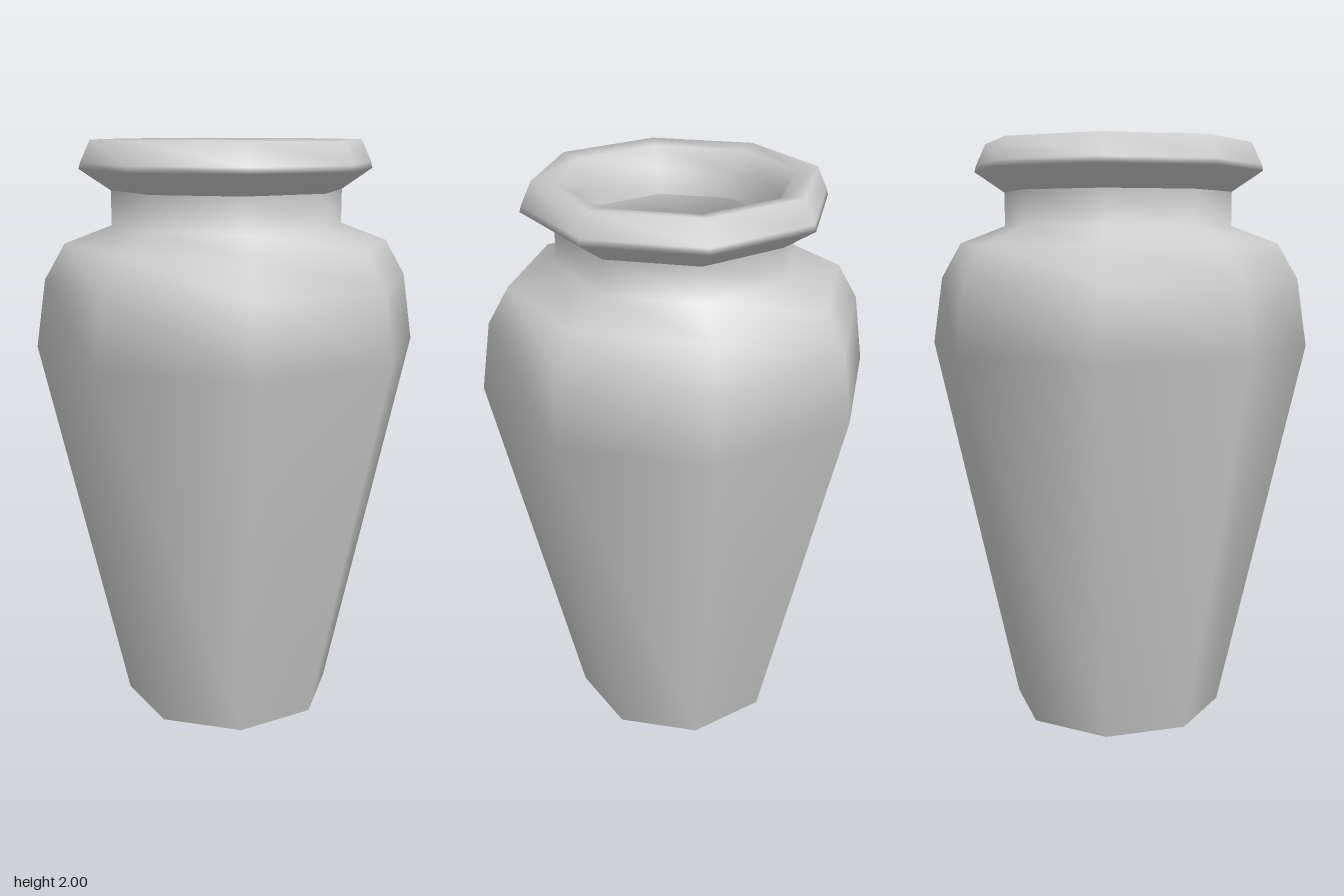
import * as THREE from 'three';

const material = new THREE.MeshStandardMaterial({ color: 0xcccccc });

// Eight-sided turned part from [radius, height] pairs
function turned(name, profile) {
  const points = profile.map(([r, y]) => new THREE.Vector2(r, y));
  const mesh = new THREE.Mesh(new THREE.LatheGeometry(points, 8), material);
  mesh.name = name;
  return mesh;
}

export function createModel() {
  const vase = new THREE.Group();
  vase.name = 'vase';

  // Slightly hollowed underside
  vase.add(turned('base', [[0, 0.06], [0.22, 0.05], [0.37, 0]]));

  // Tapered body, shoulder and neck
  vase.add(turned('body', [
    [0.37, 0], [0.66, 1.31], [0.625, 1.54], [0.555, 1.66],
    [0.395, 1.72], [0.395, 1.835],
  ]));

  // Flared lip rolling over into the throat
  vase.add(turned('lip', [
    [0.395, 1.835], [0.5, 1.905], [0.495, 1.925], [0.46, 2],
    [0.39, 1.99], [0.345, 1.92], [0.325, 1.84],
  ]));

  // Hollow interior and floor
  vase.add(turned('interior', [
    [0.325, 1.84], [0.325, 1.69], [0.49, 1.61], [0.56, 1.52],
    [0.59, 1.31], [0.31, 0.1], [0, 0.09],
  ]));

  return vase;
}
